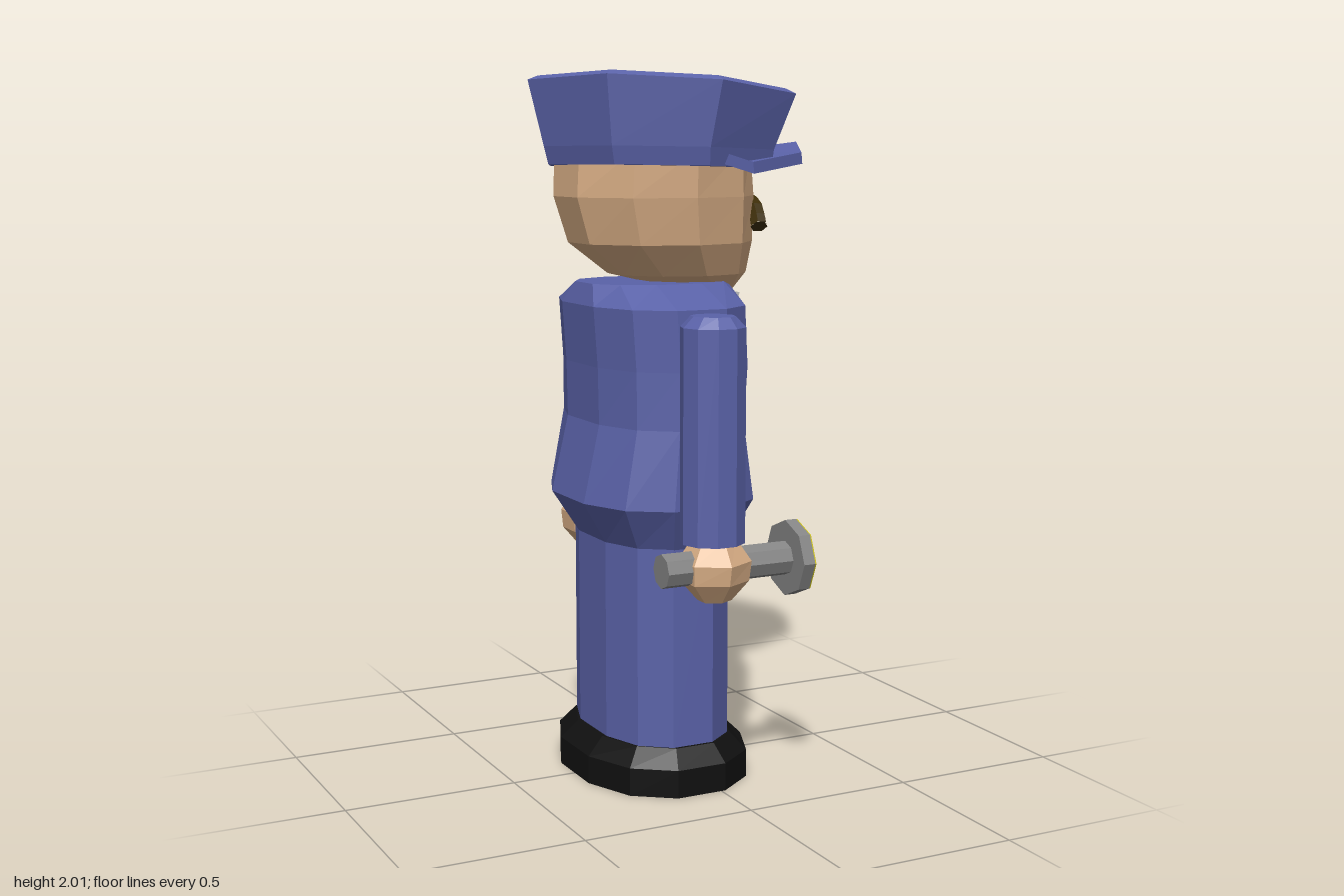
import * as THREE from 'three';

const mat = (name, color) => {
  const m = new THREE.MeshStandardMaterial({ color });
  m.name = name;
  return m;
};

// Closed, flat-shaded skin over a stack of point rings, listed bottom to top
function loft(rings) {
  const pos = [];
  const tri = (...pts) => pts.forEach((p) => pos.push(...p));
  const centre = (r) => [0, 1, 2].map((k) => r.reduce((s, p) => s + p[k], 0) / r.length);
  const n = rings[0].length;
  const low = rings[0], high = rings[rings.length - 1];
  const c0 = centre(low), c1 = centre(high);
  for (let i = 0; i < n; i++) {
    const j = (i + 1) % n;
    for (let k = 0; k + 1 < rings.length; k++) {
      const a = rings[k], b = rings[k + 1];
      tri(a[i], b[i], a[j]);
      tri(a[j], b[i], b[j]);
    }
    tri(c0, low[i], low[j]);
    tri(c1, high[j], high[i]);
  }
  const g = new THREE.BufferGeometry();
  g.setAttribute('position', new THREE.Float32BufferAttribute(pos, 3));
  g.computeVertexNormals();
  return g;
}

// Rounded ring filling x0..x1 and z within cz +- rz; power above 2 squares it off
function ring(y, x0, x1, rz, { n = 12, turn = 0.5, power = 2, cz = 0 } = {}) {
  const pts = [];
  for (let i = 0; i < n; i++) {
    const a = ((i + turn) / n) * Math.PI * 2;
    const f = (v) => Math.sign(v) * Math.abs(v) ** (2 / power);
    pts.push([f(Math.cos(a)), f(Math.sin(a))]);
  }
  const mx = Math.max(...pts.map((p) => Math.abs(p[0])));
  const mz = Math.max(...pts.map((p) => Math.abs(p[1])));
  return pts.map(([u, v]) => [(x0 + x1) / 2 + (u / mx) * (x1 - x0) / 2, y, cz + (v / mz) * rz]);
}

const stack = (rows, options) => loft(rows.map((r) => ring(...r, options)));

export function createModel() {
  const group = new THREE.Group();
  const blue = mat('uniformBlue', 0x5a62a8);
  const skin = mat('skin', 0xdbb087);
  const black = mat('shoeBlack', 0x101010);
  const white = mat('shirtWhite', 0xe2e2e2);
  const brown = mat('moustacheBrown', 0x3d2e08);
  const grey = mat('torchGrey', 0x858585);
  const yellow = mat('lensYellow', 0xc9bf10);
  white.side = THREE.DoubleSide;

  const add = (name, geometry, material) => {
    const mesh = new THREE.Mesh(geometry, material);
    mesh.name = name;
    group.add(mesh);
    return mesh;
  };

  // Shoes, trousers and coat
  add('shoes', stack([
    [0, -0.31, 0.185, 0.328], [0.08, -0.31, 0.185, 0.328], [0.13, -0.26, 0.135, 0.285],
  ], { power: 2.2 }), black);
  add('trousers', stack([
    [0.12, -0.25, 0.122, 0.276], [0.75, -0.25, 0.122, 0.276],
  ], { power: 2.4 }), blue);
  add('coat', stack([
    [0.7, -0.25, 0.125, 0.276], [0.82, -0.325, 0.195, 0.335], [1.04, -0.275, 0.157, 0.326],
    [1.2, -0.278, 0.17, 0.325], [1.37, -0.29, 0.162, 0.325], [1.43, -0.27, 0.15, 0.18],
  ], { power: 2.4 }), blue);

  // Shirt front: a thin triangle above the coat's neckline
  const shirt = new THREE.BufferGeometry();
  shirt.setAttribute('position', new THREE.Float32BufferAttribute(
    [0.174, 1.23, 0, 0.17, 1.395, -0.11, 0.17, 1.395, 0.11], 3));
  shirt.computeVertexNormals();
  add('shirtFront', shirt, white);

  // Arms and hands on both sides
  for (const [side, s] of [['left', -1], ['right', 1]]) {
    const cz = s * 0.39;
    add(side === 'left' ? 'farArm' : 'torchArm', stack([
      [0.74, -0.155, 0.025, 0.085], [1.33, -0.155, 0.025, 0.085], [1.36, -0.125, -0.005, 0.062],
    ], { n: 10, cz, turn: 0 }), blue);
    add(side === 'left' ? 'farHand' : 'torchHand', stack([
      [0.58, -0.105, -0.022, 0.045], [0.635, -0.148, 0.02, 0.09],
      [0.69, -0.152, 0.025, 0.1], [0.755, -0.115, -0.015, 0.06],
    ], { n: 6, cz: s * 0.4 }), skin);
  }

  // Torch held forward, with a wide head and a lens
  const rod = (name, r, x0, x1, material) => {
    const g = new THREE.CylinderGeometry(r, r, x1 - x0, 8).toNonIndexed();
    g.rotateZ(-Math.PI / 2);
    g.computeVertexNormals();
    add(name, g, material).position.set((x0 + x1) / 2, 0.675, 0.397);
  };
  rod('torchHandle', 0.048, -0.225, 0.165, grey);
  rod('torchHead', 0.107, 0.16, 0.195, grey);
  rod('torchLens', 0.106, 0.195, 0.199, yellow);

  // Head, tapering forward to the chin
  add('head', stack([
    [1.388, 0.09, 0.185, 0.06], [1.45, -0.17, 0.218, 0.185], [1.54, -0.285, 0.228, 0.243],
    [1.67, -0.325, 0.228, 0.268], [1.8, -0.32, 0.215, 0.28],
  ], { n: 10 }), skin);

  // Drooping moustache
  const curve = new THREE.CatmullRomCurve3([
    [0.222, 1.582, 0.127], [0.232, 1.632, 0.085], [0.238, 1.655, 0],
    [0.232, 1.632, -0.085], [0.222, 1.582, -0.127],
  ].map((p) => new THREE.Vector3(...p)));
  const moustache = add('moustache', new THREE.TubeGeometry(curve, 10, 0.025, 6), brown);
  moustache.geometry = moustache.geometry.toNonIndexed();
  moustache.geometry.computeVertexNormals();
  for (const [t, dir] of [[0, 1], [1, -1]]) {
    const end = add('moustacheTip', new THREE.CircleGeometry(0.025, 6), brown);
    end.position.copy(curve.getPoint(t));
    end.lookAt(curve.getPoint(t).addScaledVector(curve.getTangent(t), -dir));
  }

  // Cap: an eight-sided crown flaring up to a tilted top
  const capRing = (y, r, cx, cz, tilt) => {
    const pts = [];
    for (let i = 0; i < 8; i++) {
      const a = (i / 8) * Math.PI * 2 + 0.035;
      const x = cx + r * Math.cos(a), z = cz + r * Math.sin(a);
      pts.push([x, y + tilt * (0.065 * z - 0.085 * x), z]);
    }
    return pts;
  };
  add('cap', loft([
    capRing(1.75, 0.335, -0.035, 0, 0.3),
    capRing(1.8, 0.345, -0.038, 0, 0.3),
    capRing(1.958, 0.402, -0.015, -0.028, 1),
    capRing(1.972, 0.372, -0.015, -0.028, 1),
  ]), blue);

  // Peak wrapped around the front of the cap, lower at its sides
  const half = [[0.42, 1.79, 0], [0.31, 1.76, 0.217], [0.1, 1.735, 0.315], [-0.04, 1.775, 0.315]];
  const mirrored = half.slice(1).reverse().map(([x, y, z]) => [x, y, -z]);
  const peak = [...half, ...mirrored];
  add('capPeak', loft([peak, peak.map(([x, y, z]) => [x - 0.003, y + 0.032, z])]), blue);

  return group;
}
